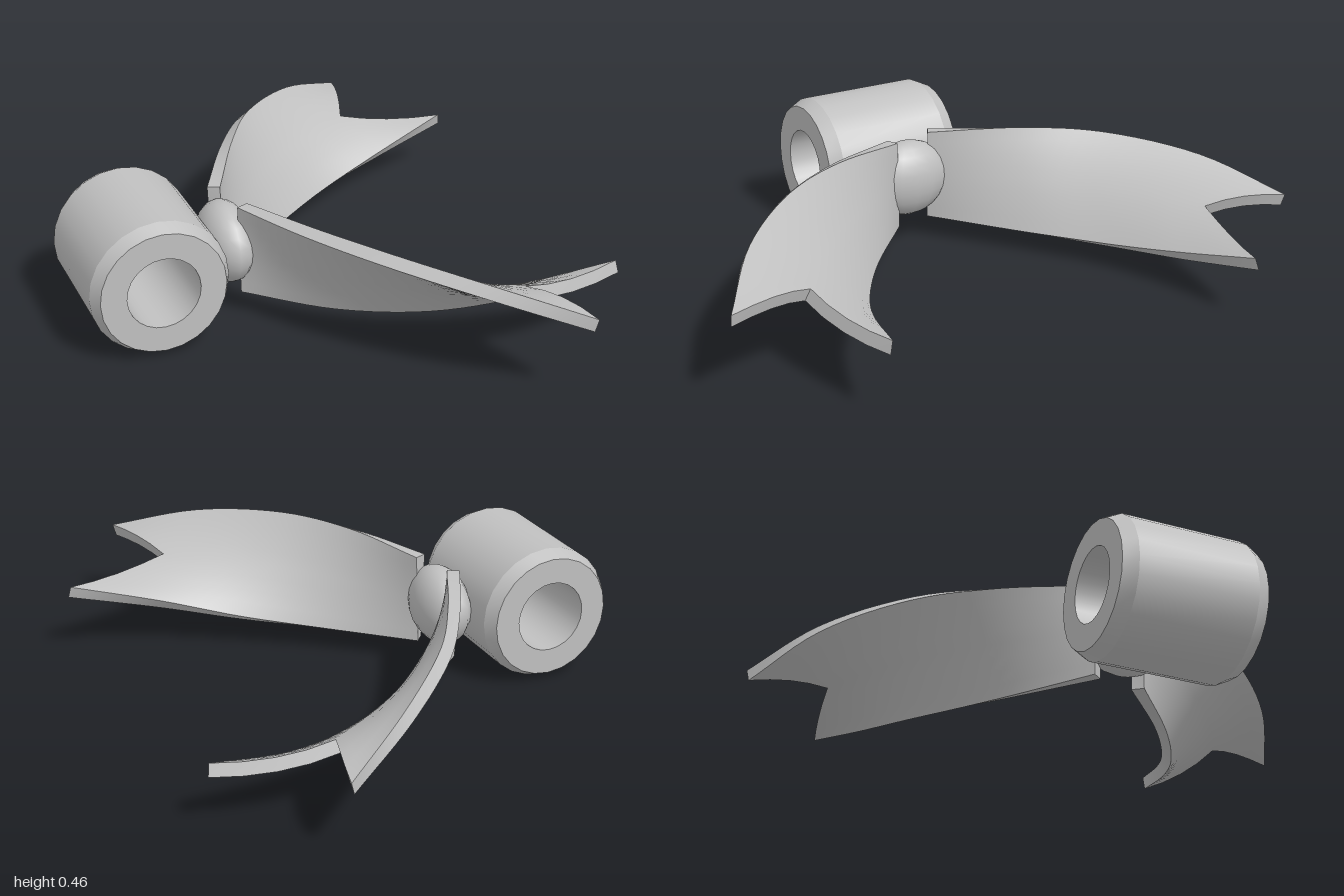
import * as THREE from 'three';
import { toCreasedNormals } from 'three/addons/utils/BufferGeometryUtils.js';

const vec = ([x, y, z]) => new THREE.Vector3(x, y, z);

// Curved, twisting strip between two edge curves, with a V notch at its free end
function ribbonGeometry(topEdge, lowEdge, thickness = 0.042, notch = 0.2) {
  const top = new THREE.CatmullRomCurve3(topEdge.map(vec));
  const low = new THREE.CatmullRomCurve3(lowEdge.map(vec));
  const nu = 24, nv = 8, row = nv + 1, sheet = (nu + 1) * row;
  const surface = (u, v) => {
    const s = u * (1 - notch * (1 - Math.abs(2 * v - 1)));
    return top.getPoint(s).lerp(low.getPoint(s), v);
  };
  // Surface normal from the plain strip, without the notch
  const normal = (u, v) => {
    const at = (s, t) => top.getPoint(s).lerp(low.getPoint(s), t);
    const s = u * (1 - notch * (1 - Math.abs(2 * v - 1)));
    const du = at(Math.min(s + 0.01, 1), v).sub(at(Math.max(s - 0.01, 0), v));
    return du.cross(low.getPoint(s).sub(top.getPoint(s))).normalize();
  };

  const positions = [], index = [];
  for (const side of [1, -1])
    for (let i = 0; i <= nu; i++)
      for (let j = 0; j <= nv; j++) {
        const u = i / nu, v = j / nv;
        const p = surface(u, v).addScaledVector(normal(u, v), side * thickness / 2);
        positions.push(p.x, p.y, p.z);
      }
  const quad = (a, b, c, d) => index.push(a, b, c, a, c, d);
  const id = (i, j) => i * row + j;
  // Two broad faces
  for (let i = 0; i < nu; i++)
    for (let j = 0; j < nv; j++) {
      const a = id(i, j), b = id(i + 1, j), c = id(i + 1, j + 1), d = id(i, j + 1);
      quad(a, b, c, d);
      quad(d + sheet, c + sheet, b + sheet, a + sheet);
    }
  // Rim around the outline
  const rim = (a, b) => quad(b, a, a + sheet, b + sheet);
  for (let i = 0; i < nu; i++) {
    rim(id(i, 0), id(i + 1, 0));
    rim(id(i + 1, nv), id(i, nv));
  }
  for (let j = 0; j < nv; j++) {
    rim(id(nu, j), id(nu, j + 1));
    rim(id(0, j + 1), id(0, j));
  }
  const geo = new THREE.BufferGeometry();
  geo.setAttribute('position', new THREE.Float32BufferAttribute(positions, 3));
  geo.setIndex(index);
  return toCreasedNormals(geo, 0.6);
}

export function createModel() {
  const group = new THREE.Group();
  const grey = new THREE.MeshStandardMaterial({ color: 0xc0c0c0 });
  grey.name = 'plain grey';
  const add = (name, geo) => {
    const mesh = new THREE.Mesh(geo, grey);
    mesh.name = name;
    group.add(mesh);
    return mesh;
  };

  // Hollow barrel with bevelled rims, lying along z
  const profile = [
    [0.12, -0.245], [0.205, -0.245], [0.2275, -0.2], [0.2275, 0.2],
    [0.205, 0.245], [0.12, 0.245], [0.12, -0.245],
  ].map(([r, y]) => new THREE.Vector2(r, y));
  const barrel = add('barrel', toCreasedNormals(new THREE.LatheGeometry(profile, 24), 0.4));
  barrel.rotation.x = Math.PI / 2;
  barrel.position.set(-0.573, 0.2275, 0);

  // Flattened knot ball
  const knot = add('knot', new THREE.SphereGeometry(1, 16, 12));
  knot.scale.set(0.09, 0.132, 0.153);
  knot.position.set(-0.285, 0.232, 0);

  // Two trailing ribbons, the back one hanging slightly lower
  add('frontRibbon', ribbonGeometry(
    [[-0.25, 0.385, 0.07], [-0.13, 0.4, 0.35], [0.02, 0.395, 0.585], [0.25, 0.355, 0.82], [0.515, 0.277, 0.99]],
    [[-0.25, 0.08, 0.07], [0, 0.08, 0.28], [0.25, 0.105, 0.435], [0.5, 0.16, 0.545], [0.8, 0.23, 0.63]],
  ));
  add('backRibbon', ribbonGeometry(
    [[-0.29, 0.385, -0.085], [-0.14, 0.39, -0.37], [0.01, 0.375, -0.6], [0.25, 0.325, -0.83], [0.505, 0.233, -0.99]],
    [[-0.28, 0.08, -0.085], [0, 0.07, -0.31], [0.25, 0.08, -0.48], [0.5, 0.12, -0.58], [0.8, 0.193, -0.655]],
  ));
  return group;
}
